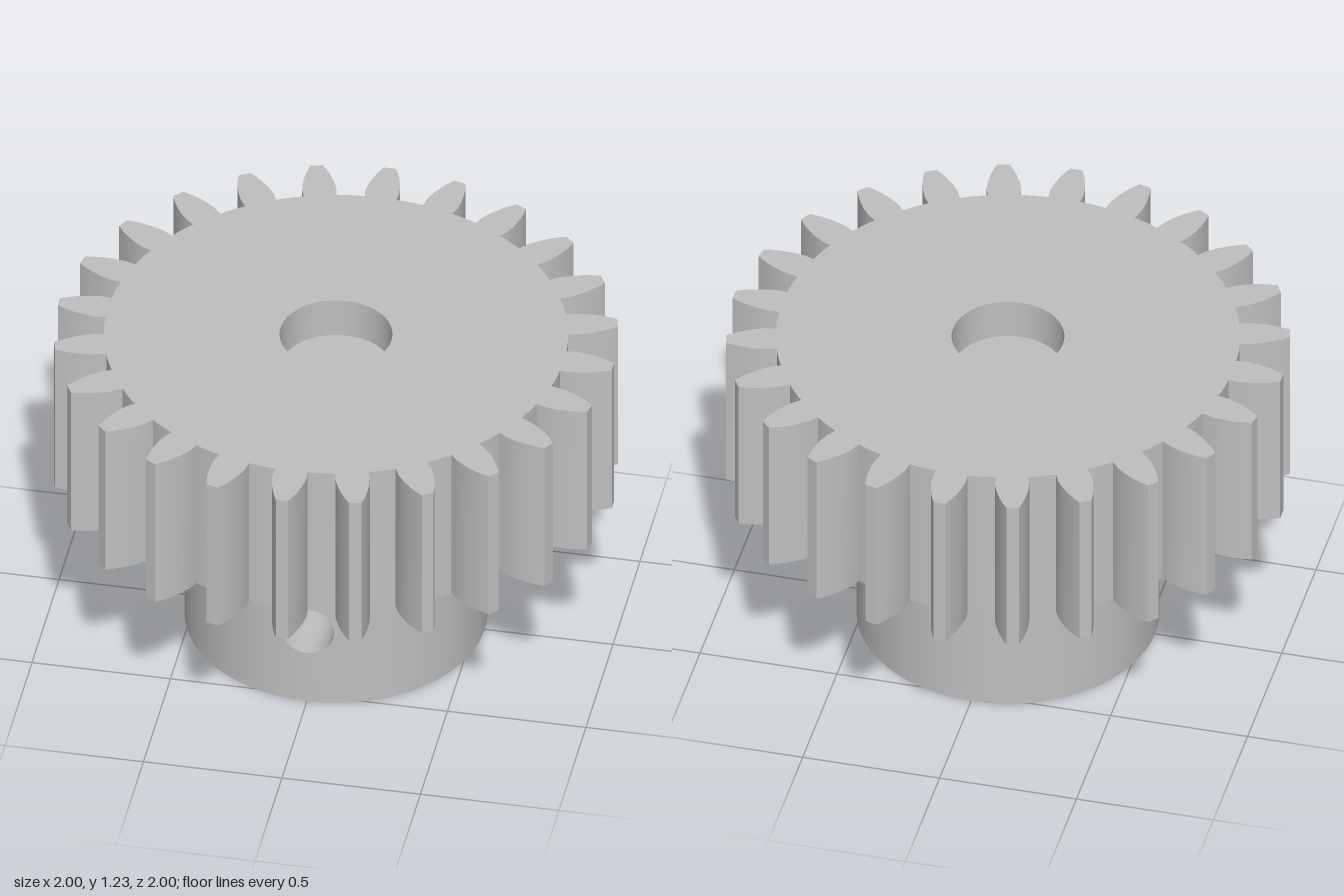
import * as THREE from 'three';
import { mergeGeometries, toCreasedNormals } from 'three/addons/utils/BufferGeometryUtils.js';

const GEAR_Y0 = 0.62, GEAR_Y1 = 1.23, LEDGE_Y = 1.077;
const ROOT_R = 0.823, HUB_R = 0.537, BORE_R = 0.2, FLAT_Z = 0.125;
const SCREW_R = 0.097, SCREW_Y = GEAR_Y0 / 2, TEETH = 24, N = 64;

// Surface between rows of [x, y, z] points
function loft(rows) {
  const n = rows[0].length, index = [];
  for (let r = 0; r < rows.length - 1; r++) {
    for (let i = 0; i < n - 1; i++) {
      const a = r * n + i, c = a + n;
      index.push(a, a + 1, c + 1, a, c + 1, c);
    }
  }
  const g = new THREE.BufferGeometry();
  g.setAttribute('position', new THREE.Float32BufferAttribute(rows.flat(2), 3));
  g.setIndex(index);
  return g;
}

// Upright wall along [x, z] points; faces outward when they run counterclockwise
const wall = (pts, ys) => loft(ys.map((y) => pts.map(([x, z]) => [x, y, z])));

function arc(r, from, to, steps) {
  return Array.from({ length: steps + 1 }, (_, i) => {
    const t = from + ((to - from) * i) / steps;
    return [r * Math.sin(t), r * Math.cos(t)];
  });
}

// Flat face with a hole, at height y, facing up or down
function cap(outline, hole, y, up) {
  const toV = (p) => new THREE.Vector2(p[0], up ? -p[1] : p[1]);
  const s = new THREE.Shape(outline.map(toV));
  s.holes.push(new THREE.Path(hole.map(toV)));
  return new THREE.ShapeGeometry(s).rotateX(up ? -Math.PI / 2 : Math.PI / 2).translate(0, y, 0);
}

// Closed toothed outline
function gearOutline() {
  const flank = [[0.058, 0.82], [0.061, 0.86], [0.056, 0.9], [0.046, 0.94], [0.035, 0.972], [0.022, 1]];
  const tooth = [...flank.map(([w, r]) => [-w, r]), ...flank.slice().reverse()];
  const pitch = (Math.PI * 2) / TEETH, half = Math.atan2(0.058, 0.82);
  const pts = [];
  for (let k = 0; k < TEETH; k++) {
    const a = k * pitch, s = Math.sin(a), c = Math.cos(a);
    for (const [w, r] of tooth) pts.push([r * s + w * c, r * c - w * s]);
    pts.push(...arc(ROOT_R, a + half, a + pitch - half, 4).slice(1, -1));
  }
  pts.push(pts[0]);
  return pts;
}

export function createModel() {
  const model = new THREE.Group();
  const steel = new THREE.MeshStandardMaterial({ color: 0xbfbfbf });
  steel.name = 'grey steel';
  const add = (name, ...geos) => {
    const plain = geos.map((g) => {
      const p = g.index ? g.toNonIndexed() : g;
      p.deleteAttribute('uv');
      p.deleteAttribute('normal');
      return p;
    });
    const mesh = new THREE.Mesh(toCreasedNormals(mergeGeometries(plain), 0.45), steel);
    mesh.name = name;
    model.add(mesh);
  };

  const TAU = Math.PI * 2;
  const outline = gearOutline();
  const boreCircle = arc(BORE_R, 0, TAU, N);
  const hubCircle = arc(HUB_R, 0, TAU, 96);

  // Double-D bore: two arcs joined by two flats
  const t0 = Math.acos(FLAT_Z / BORE_R), flatX = BORE_R * Math.sin(t0);
  const arcRight = arc(BORE_R, t0, Math.PI - t0, 20);
  const arcLeft = arc(BORE_R, Math.PI + t0, TAU - t0, 20);
  const doubleD = [...arcRight, ...arcLeft];

  // Toothed wheel
  add('gearWheel',
    wall(outline, [GEAR_Y0, GEAR_Y1]),
    cap(outline.slice(0, -1), boreCircle.slice(0, -1), GEAR_Y1, true),
    cap(outline.slice(0, -1), hubCircle.slice(0, -1), GEAR_Y0, false));

  // Round counterbore and its ledge
  add('counterbore',
    wall(boreCircle.slice().reverse(), [LEDGE_Y, GEAR_Y1]),
    cap(boreCircle.slice(0, -1), doubleD, LEDGE_Y, true));

  // Hub wall: a square patch around the screw hole, and the rest of the cylinder
  const onHub = (x, y) => [x, y, Math.sqrt(HUB_R * HUB_R - x * x)];
  const angles = Array.from({ length: N + 1 }, (_, i) => (i / N) * TAU);
  const patch = [];
  for (let j = 0; j <= 6; j++) {
    patch.push(angles.map((t) => {
      const c = Math.cos(t), s = Math.sin(t);
      const edge = SCREW_Y / Math.max(Math.abs(c), Math.abs(s));
      const r = THREE.MathUtils.lerp(edge, SCREW_R, j / 6);
      return onHub(r * c, SCREW_Y + r * s);
    }));
  }
  const a = Math.asin(SCREW_Y / HUB_R);
  const sideYs = Array.from({ length: N / 4 + 1 }, (_, i) =>
    SCREW_Y * (1 + Math.tan((i / (N / 4) - 0.5) * (Math.PI / 2))));
  add('hub',
    loft(patch),
    wall(arc(HUB_R, a, TAU - a, 80), sideYs),
    cap(hubCircle.slice(0, -1), doubleD, 0, false));

  // Set screw hole from the hub surface to the bore
  const rim = patch[patch.length - 1];
  add('screwHole', loft([rim, rim.map(([x, y]) => [x, y, FLAT_Z])]));

  // Bore walls, the front flat pierced by the screw hole
  const flat = (pierced) => {
    const s = new THREE.Shape([[-flatX, 0], [flatX, 0], [flatX, LEDGE_Y], [-flatX, LEDGE_Y]]
      .map((p) => new THREE.Vector2(...p)));
    if (pierced) {
      s.holes.push(new THREE.Path(rim.slice(0, -1).map(([x, y]) => new THREE.Vector2(x, y))));
    }
    return new THREE.ShapeGeometry(s).translate(0, 0, -FLAT_Z);
  };
  add('bore',
    wall(arcRight.slice().reverse(), [0, LEDGE_Y]),
    wall(arcLeft.slice().reverse(), [0, LEDGE_Y]),
    flat(false),
    flat(true).rotateY(Math.PI));

  return model;
}
